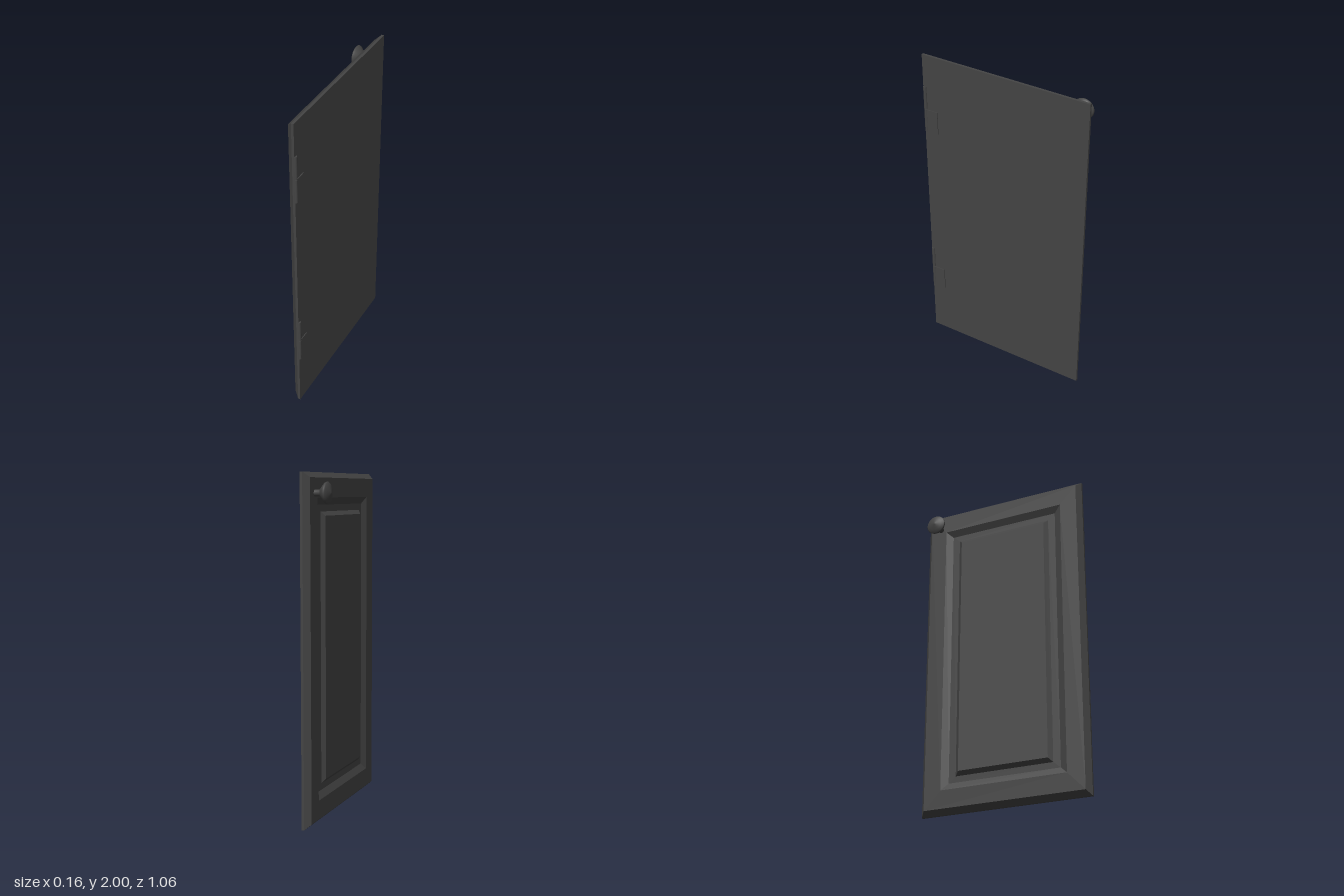
import * as THREE from 'three';

const material = new THREE.MeshStandardMaterial({ color: 0x444444 });

function addMesh(parent, name, geometry, x = 0, y = 0, z = 0) {
  const mesh = new THREE.Mesh(geometry, material);
  mesh.name = name;
  mesh.position.set(x, y, z);
  parent.add(mesh);
  return mesh;
}

// Nested rectangles [x, half height, half width], joined from back to front
function panelGeometry(steps) {
  const rings = steps.map(([x, h, w]) => [[x, -h, -w], [x, -h, w], [x, h, w], [x, h, -w]]);
  const positions = [];
  const quad = (a, b, c, d) => positions.push(...a, ...b, ...c, ...a, ...c, ...d);
  for (let i = 0; i < rings.length - 1; i++) {
    for (let j = 0; j < 4; j++) {
      const k = (j + 1) % 4;
      quad(rings[i][j], rings[i][k], rings[i + 1][k], rings[i + 1][j]);
    }
  }
  quad(...rings[rings.length - 1]);
  quad(...[...rings[0]].reverse());
  const geometry = new THREE.BufferGeometry();
  geometry.setAttribute('position', new THREE.Float32BufferAttribute(positions, 3));
  geometry.computeVertexNormals();
  return geometry;
}

// Two-knuckle hinge with one leaf lying on the door back
function createHinge(y) {
  const hinge = new THREE.Group();
  hinge.name = 'hinge';
  hinge.position.set(0.066, y, 0);
  for (const side of [-1, 1]) {
    addMesh(hinge, 'hingeKnuckle', new THREE.CylinderGeometry(0.011, 0.011, 0.145, 16), 0, side * 0.074, 0.517);
  }
  addMesh(hinge, 'hingeLeaf', new THREE.BoxGeometry(0.012, 0.145, 0.08), 0, -0.074, 0.478);
  return hinge;
}

export function createModel() {
  const model = new THREE.Group();
  model.name = 'cabinetDoor';

  // Door: bevelled rim, frame, sunken groove and raised centre panel
  addMesh(model, 'doorPanel', panelGeometry([
    [0.067, 1, 0.5275],
    [0.052, 1, 0.5275],
    [0.018, 0.97, 0.499],
    [0.018, 0.86, 0.393],
    [0.038, 0.82, 0.35],
    [0.038, 0.782, 0.305],
    [0.018, 0.758, 0.281],
  ]), 0, 1, 0);

  // Round knob turned on a short neck
  const profile = [
    [0.019, 0], [0.019, 0.034], [0.026, 0.036], [0.042, 0.049], [0.058, 0.064],
    [0.062, 0.074], [0.058, 0.08], [0.04, 0.087], [0.02, 0.093], [0, 0.097],
  ].map(([r, h]) => new THREE.Vector2(r, h));
  const knob = addMesh(model, 'knob', new THREE.LatheGeometry(profile, 32), 0.018, 1.885, -0.43);
  knob.rotation.z = Math.PI / 2;

  // Hinges on the opposite edge
  for (const y of [0.492, 1.652]) model.add(createHinge(y));

  return model;
}
